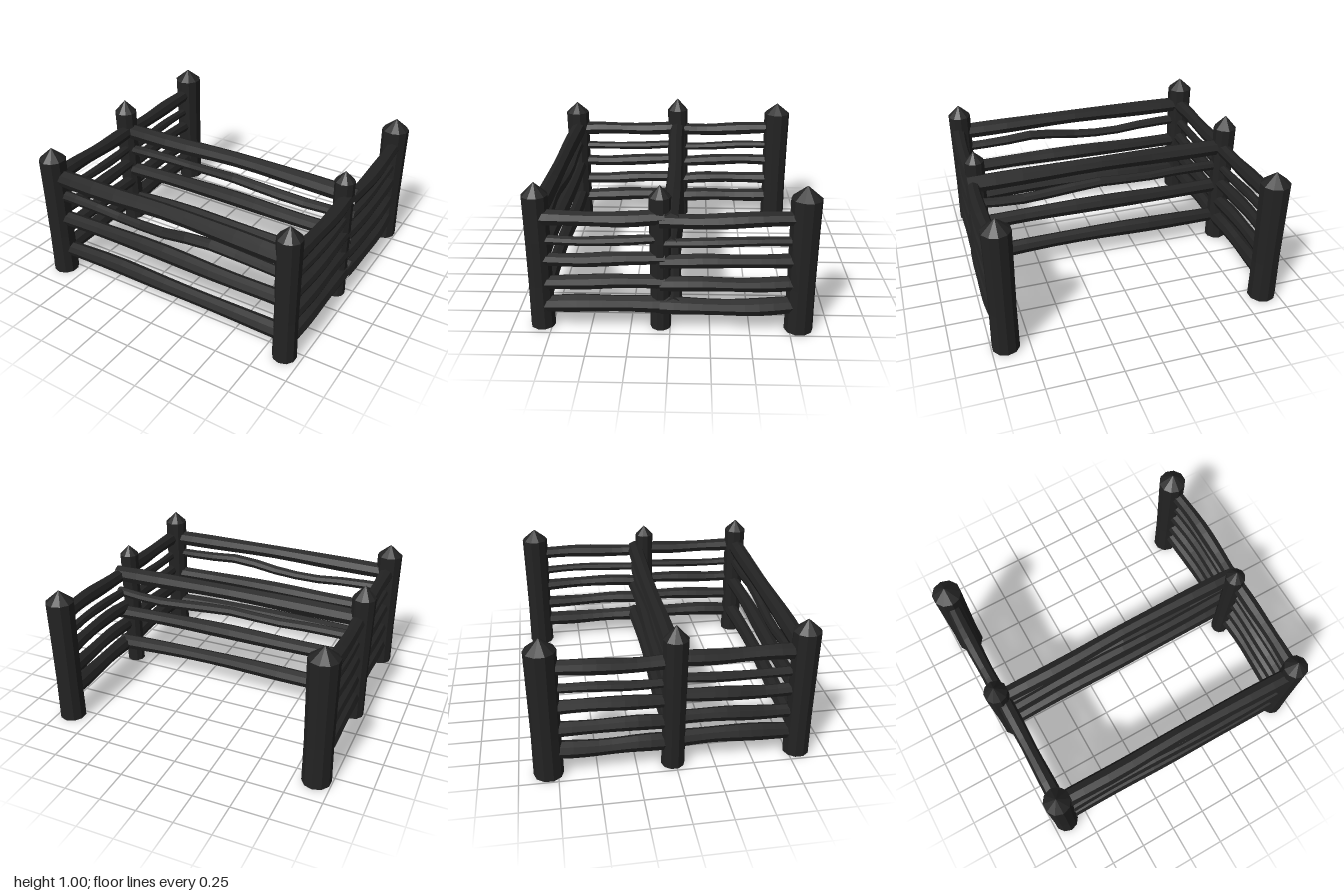
import * as THREE from 'three';

const charcoal = new THREE.MeshStandardMaterial({ color: 0x232323, flatShading: true });
charcoal.name = 'charcoal wood';

// Round post with a pointed cap; base offset gives it a slight lean
function post(name, x, z, r, shoulder, peak, leanX = 0, leanZ = 0) {
  const profile = [[0, 0], [r * 0.96, 0], [r * 0.93, 0.3], [r * 0.96, 0.6], [r, shoulder], [0, peak]];
  const geo = new THREE.LatheGeometry(profile.map(([a, b]) => new THREE.Vector2(a, b)), 10);
  const p = geo.attributes.position;
  for (let i = 0; i < p.count; i++) {
    const k = 1 - p.getY(i) / peak;
    p.setX(i, p.getX(i) + leanX * k);
    p.setZ(i, p.getZ(i) + leanZ * k);
  }
  geo.computeVertexNormals();
  const mesh = new THREE.Mesh(geo, charcoal);
  mesh.name = name;
  mesh.position.set(x, 0, z);
  return mesh;
}

// Hand-hewn rail: a tube along a bent line whose radius swells and narrows
function rail(name, points, r, phase) {
  const curve = new THREE.CatmullRomCurve3(points.map((p) => new THREE.Vector3(...p)));
  const rings = 10, sides = 8;
  const geo = new THREE.TubeGeometry(curve, rings, r, sides, false);
  const p = geo.attributes.position, v = new THREE.Vector3();
  for (let i = 0; i <= rings; i++) {
    const c = curve.getPointAt(i / rings);
    const swell = 1 + 0.06 * Math.sin(i * 0.9 + phase);
    for (let j = 0; j <= sides; j++) {
      const k = i * (sides + 1) + j;
      v.fromBufferAttribute(p, k).sub(c).multiplyScalar(swell).add(c);
      p.setXYZ(k, v.x, v.y, v.z);
    }
  }
  geo.computeVertexNormals();
  const mesh = new THREE.Mesh(geo, charcoal);
  mesh.name = name;
  return mesh;
}

// Long panel of four rails running in x; each row lists heights from -x to +x
function longPanel(name, x0, x1, z0, z1, rows) {
  const group = new THREE.Group();
  group.name = name;
  rows.forEach(({ r, ys }, n) => {
    const pts = ys.map((y, i) => {
      const t = i / (ys.length - 1);
      return [x0 + (x1 - x0) * t, y, z0 + (z1 - z0) * t + 0.006 * Math.sin(i * 2 + n)];
    });
    group.add(rail('longRail' + (n + 1), pts, r, n * 1.7));
  });
  return group;
}

// Short side panel of five rails between two posts, bowed a little outward
function sidePanel(name, a, b, bow, phase) {
  const group = new THREE.Group();
  group.name = name;
  const rows = [[0.755, 0.05], [0.61, 0.032], [0.482, 0.045], [0.325, 0.047], [0.17, 0.055]];
  rows.forEach(([y, r], n) => {
    const pts = [0, 0.3, 0.65, 1].map((t, i) => [
      a[0] + (b[0] - a[0]) * t + bow * Math.sin(Math.PI * t),
      y + (t - 0.5) * 0.016 + 0.007 * Math.sin(i * 1.9 + n + phase),
      a[1] + (b[1] - a[1]) * t,
    ]);
    group.add(rail('sideRail' + (n + 1), pts, r, n + phase));
  });
  return group;
}

export function createModel() {
  const model = new THREE.Group();
  model.name = 'fence';

  // Posts
  model.add(
    post('frontRightPost', -0.9, 0.81, 0.09, 0.89, 0.97),
    post('frontLeftPost', 0.89, 0.81, 0.082, 0.89, 0.97),
    post('middleRightPost', -0.92, -0.005, 0.08, 0.91, 1.0, 0.01, -0.01),
    post('middleLeftPost', 0.895, 0.06, 0.068, 0.89, 0.96),
    post('backRightPost', -0.9, -0.81, 0.1, 0.89, 0.97),
    post('backLeftPost', 0.905, -0.81, 0.095, 0.89, 0.97),
  );

  // Front panel and middle divider
  const top = { r: 0.057, ys: [0.755, 0.757, 0.767, 0.76, 0.75] };
  const mid = { r: 0.053, ys: [0.435, 0.44, 0.445, 0.44, 0.435] };
  const low = { r: 0.053, ys: [0.175, 0.187, 0.19, 0.187, 0.175] };
  model.add(
    longPanel('frontPanel', -0.9, 0.9, 0.8, 0.81,
      [top, { r: 0.036, ys: [0.62, 0.615, 0.595, 0.605, 0.645, 0.63, 0.62] }, mid, low]),
    longPanel('middlePanel', -0.9, 0.96, -0.005, -0.015,
      [top, { r: 0.036, ys: [0.605, 0.61, 0.605, 0.615, 0.595, 0.582, 0.605] }, mid, low]),
  );

  // Side panels, from front to middle and middle to back
  model.add(
    sidePanel('frontRightSide', [-0.895, 0.81], [-0.895, 0.0], 0, 0.5),
    sidePanel('backRightSide', [-0.9, 0.0], [-0.9, -0.81], -0.008, 2.5),
    sidePanel('frontLeftSide', [0.91, 0.81], [0.92, 0.03], 0.01, 1.2),
    sidePanel('backLeftSide', [0.925, 0.06], [0.915, -0.81], 0.02, 3.4),
  );
  return model;
}
